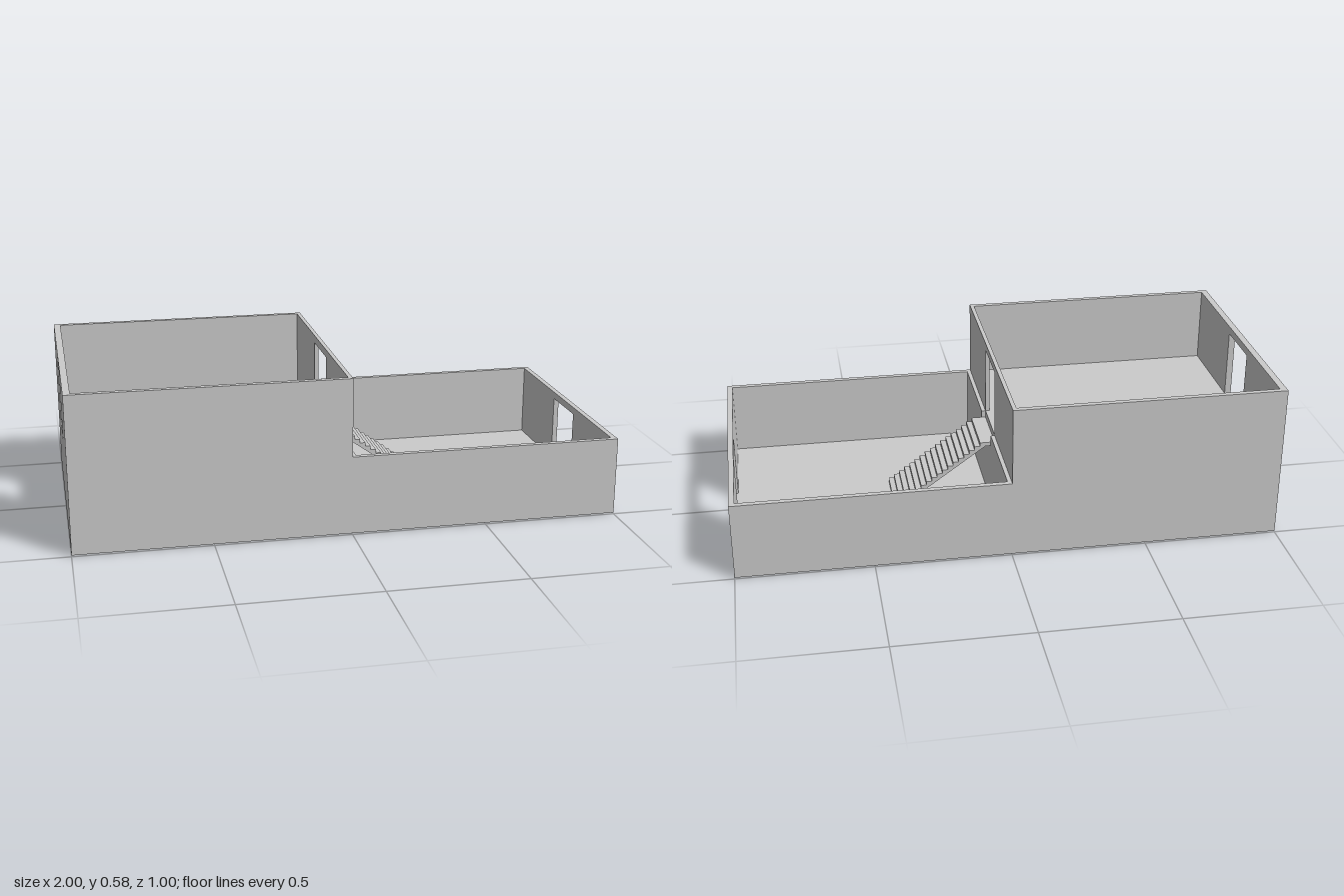
import * as THREE from 'three';

const BASE = 0.005, LOW = 0.295, HIGH = 0.585, UPPER_FLOOR = 0.297;
const HALF_Z = 0.5, WALL = 0.02, DOOR = [-0.113, 0.1];

export function createModel() {
  const model = new THREE.Group();
  const material = new THREE.MeshStandardMaterial({ color: 0xcccccc, flatShading: true });

  const add = (name, geometry) => {
    const mesh = new THREE.Mesh(geometry, material);
    mesh.name = name;
    model.add(mesh);
    return mesh;
  };
  const outline = (points) => new THREE.Shape(points.map(([x, y]) => new THREE.Vector2(x, y)));
  const extrude = (shape, depth) =>
    new THREE.ExtrudeGeometry(shape, { depth, bevelEnabled: false });

  // Long stepped walls at front and back
  const stepped = outline([[-1, BASE], [1, BASE], [1, LOW], [0, LOW], [0, HIGH], [-1, HIGH]]);
  add('frontWall', extrude(stepped, WALL)).position.z = HALF_Z - WALL;
  add('backWall', extrude(stepped, WALL)).position.z = -HALF_Z;

  // Cross walls: drawn in (z, y), ending at outer face x1
  const inner = HALF_Z - WALL;
  const crossWall = (name, x1, thickness, top, doorBottom, doorTop) => {
    const shape = outline([[-inner, BASE], [inner, BASE], [inner, top], [-inner, top]]);
    const [a, b] = DOOR;
    shape.holes.push(new THREE.Path([[a, doorBottom], [a, doorTop], [b, doorTop], [b, doorBottom]]
      .map(([z, y]) => new THREE.Vector2(z, y))));
    add(name, extrude(shape, thickness).rotateY(-Math.PI / 2)).position.x = x1;
  };
  crossWall('upperOuterWall', -0.975, 0.025, HIGH, UPPER_FLOOR, 0.556);
  crossWall('upperInnerWall', 0, 0.015, HIGH, UPPER_FLOOR, 0.556);
  crossWall('lowerOuterWall', 1, WALL, LOW, 0.015, 0.268);

  // Low ledge wall against the tall block, notched for the stair head
  const stairZ = [-0.115, 0.103], stairTop = 0.268;
  const ledge = outline([[-inner, BASE], [inner, BASE], [inner, LOW], [stairZ[1], LOW],
    [stairZ[1], stairTop], [stairZ[0], stairTop], [stairZ[0], LOW], [-inner, LOW]]);
  add('lowerInnerWall', extrude(ledge, 0.015).rotateY(-Math.PI / 2)).position.x = 0.015;

  // Floors, slightly recessed above the wall bottoms
  const floor = (name, x0, x1, top, thickness) =>
    add(name, new THREE.BoxGeometry(x1 - x0, thickness, 2 * inner))
      .position.set((x0 + x1) / 2, top - thickness / 2, 0);
  floor('lowerFloor', 0.015, 0.98, 0.015, 0.004);
  floor('groundSlab', -0.975, -0.015, 0.015, 0.004);
  floor('upperFloor', -0.975, -0.015, UPPER_FLOOR, 0.015);

  // Floating staircase: sawtooth top with a sloped underside
  const steps = 18, foot = 0.41, head = 0.035;
  const run = (foot - head) / steps, rise = stairTop / steps;
  const profile = [[foot, 0]];
  for (let i = 0; i < steps; i++) {
    profile.push([foot - i * run, (i + 1) * rise], [foot - (i + 1) * run, (i + 1) * rise]);
  }
  profile.push([0.015, stairTop], [0.015, stairTop - rise], [head, stairTop - rise],
    [foot - run, 0]);
  add('staircase', extrude(outline(profile), stairZ[1] - stairZ[0])).position.z = stairZ[0];

  return model;
}
